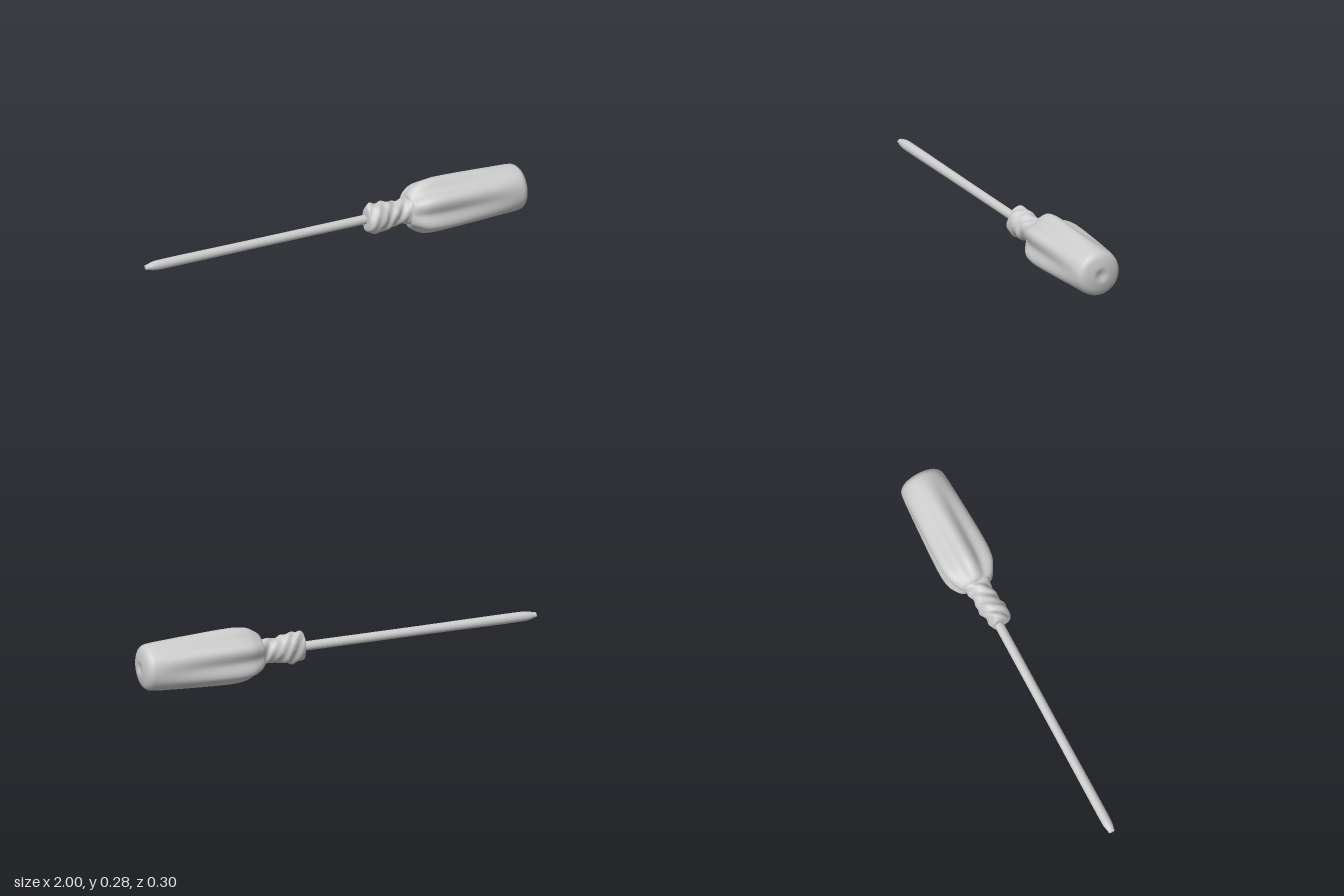
import * as THREE from 'three';

const material = new THREE.MeshStandardMaterial({ color: 0xcccccc });

// Lofts closed rings along x. Each profile point is [x, radius, amount];
// section(angle, amount, x) returns [y, z] scale factors for the ring.
function loft(name, profile, section, steps, sides) {
  const curve = new THREE.CatmullRomCurve3(profile.map(p => new THREE.Vector3(...p)), false, 'centripetal');
  const rings = curve.getPoints(steps);
  const positions = [], indices = [];
  rings.forEach((p, i) => {
    const r = Math.max(p.y, 0);
    for (let j = 0; j < sides; j++) {
      const [y, z] = section((j / sides) * Math.PI * 2, p.z, p.x);
      positions.push(p.x, y * r, z * r);
      if (i < steps) {
        const a = i * sides + j, b = i * sides + (j + 1) % sides;
        indices.push(a, b, a + sides, b, b + sides, a + sides);
      }
    }
  });
  const geometry = new THREE.BufferGeometry();
  geometry.setAttribute('position', new THREE.Float32BufferAttribute(positions, 3));
  geometry.setIndex(indices);
  geometry.computeVertexNormals();
  const mesh = new THREE.Mesh(geometry, material);
  mesh.name = name;
  return mesh;
}

// Six lobes, one straight up, with flutes of the given depth between them
function fluted(angle, depth) {
  const k = 1 - depth * (0.5 - 0.5 * Math.cos(6 * angle));
  return [Math.cos(angle) * k, Math.sin(angle) * k];
}

// Lumpy ferrule, flattened at the back where amount is high
function lumpy(angle, flat, x) {
  const lump = 1 + 0.07 * Math.sin(x * 75) * Math.cos(3 * angle) + 0.05 * Math.sin(x * 110 + 4 * angle);
  const z = Math.sin(angle);
  return [Math.cos(angle) * lump, z * lump * (z < 0 ? 1 - flat : 0.95)];
}

function round(angle) {
  return [Math.cos(angle), Math.sin(angle)];
}

// Blade tip squeezes slightly in y
function bladeSection(angle, squeeze) {
  const [y, z] = round(angle);
  return [y * (1 - squeeze), z];
}

export function createModel() {
  const tool = new THREE.Group();
  tool.name = 'screwdriver';

  // Fluted grip with a rounded, dimpled butt
  tool.add(loft('handle', [
    [0.385, 0, 0], [0.387, 0.05, 0.05], [0.395, 0.085, 0.12], [0.42, 0.108, 0.17],
    [0.46, 0.13, 0.2], [0.51, 0.139, 0.2], [0.6, 0.139, 0.18], [0.72, 0.133, 0.14],
    [0.84, 0.125, 0.08], [0.94, 0.115, 0.02], [0.97, 0.107, 0], [0.986, 0.092, 0],
    [0.997, 0.06, 0], [1.0, 0.035, 0], [0.994, 0.012, 0], [0.992, 0, 0],
  ], fluted, 90, 72));

  // Ferrule between grip and shaft
  tool.add(loft('ferrule', [
    [0.168, 0, 0.5], [0.167, 0.035, 0.5], [0.172, 0.062, 0.5], [0.19, 0.072, 0.5],
    [0.23, 0.074, 0.4], [0.27, 0.068, 0.2], [0.31, 0.06, 0.1], [0.35, 0.058, 0.05],
    [0.385, 0.066, 0], [0.41, 0.08, 0],
  ], lumpy, 60, 48));

  // Shaft with its tapered tip
  tool.add(loft('shaft', [
    [-1.003, 0, 0.3], [-1.002, 0.011, 0.3], [-0.99, 0.016, 0.2], [-0.96, 0.022, 0.05],
    [-0.93, 0.0235, 0], [-0.4, 0.0225, 0], [0.2, 0.0225, 0],
  ], bladeSection, 60, 24));

  // The tool lies slightly turned in the horizontal plane
  tool.rotation.y = -0.086;
  tool.position.set(0, 0.141, -0.047);

  const model = new THREE.Group();
  model.add(tool);
  return model;
}
